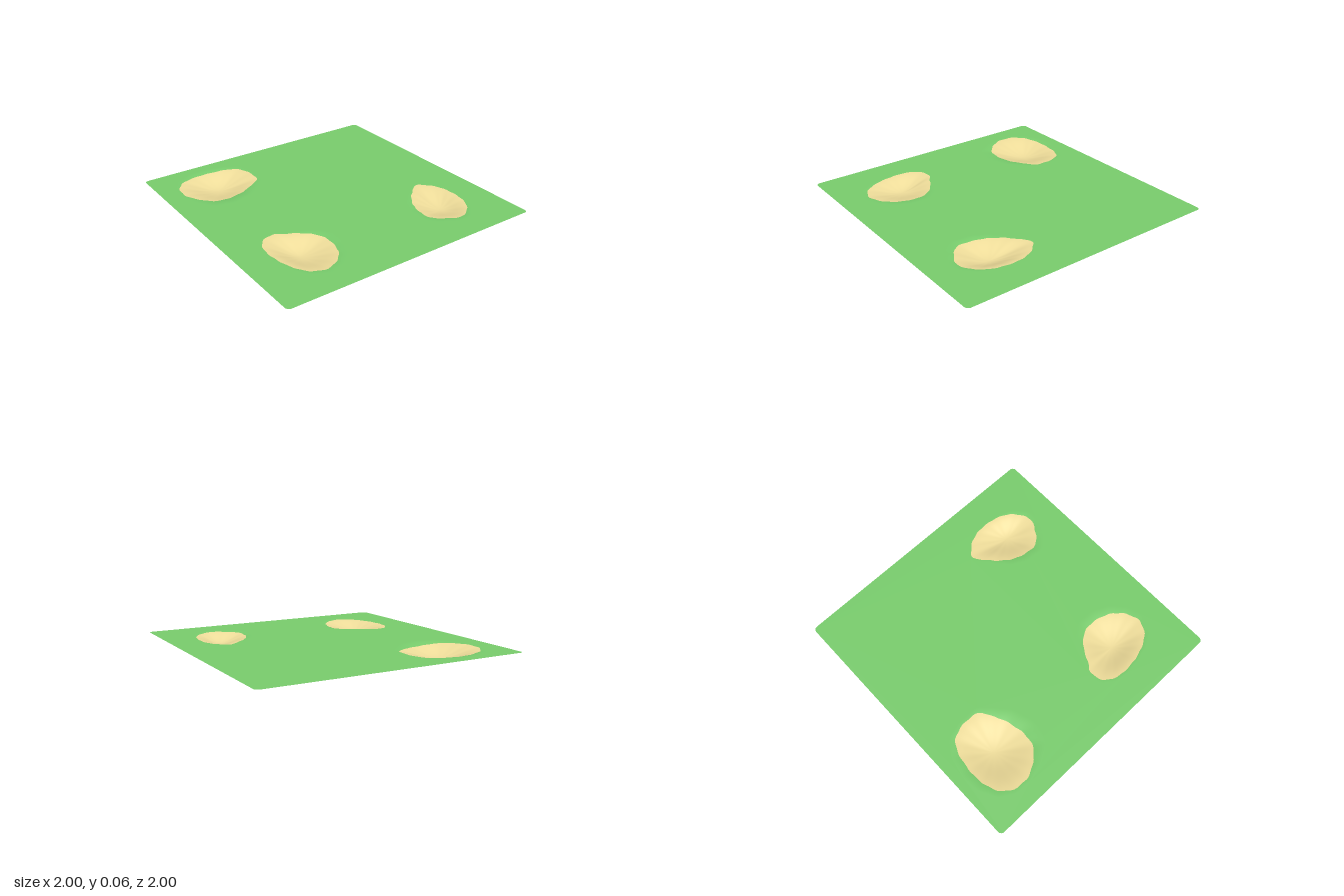
import * as THREE from 'three';

const LEVEL = 0.063; // height of the flat lawn
const SEGMENTS = 72, SAND_RINGS = 12, LIP_RINGS = 6;

const green = new THREE.MeshStandardMaterial({ color: 0x78cc6c, side: THREE.DoubleSide });
const sand = new THREE.MeshStandardMaterial({ color: 0xefdd9a, side: THREE.DoubleSide });

// Each hollow: deepest point, depth, sand outline as x,z pairs (clockwise from
// above), and how far the grassy lip spreads beyond the sand to +x, +z, -x, -z.
const hollows = [
  {
    name: 'backBunker', center: [-0.555, -0.65], depth: 0.063, lip: [0.08, 0.45, 0.08, 0.28],
    outline: [-.57, -.865, -.37, -.83, -.30, -.77, -.27, -.645, -.29, -.54, -.355, -.50, -.45, -.45,
      -.61, -.415, -.71, -.43, -.785, -.495, -.845, -.60, -.84, -.73, -.78, -.81, -.69, -.85],
  },
  {
    name: 'frontRightBunker', center: [-0.58, 0.50], depth: 0.054, lip: [0.3, 0.16, 0.1, 0.06],
    outline: [-.62, .235, -.56, .27, -.44, .34, -.375, .415, -.355, .50, -.385, .64, -.46, .735,
      -.575, .78, -.675, .735, -.735, .64, -.77, .51, -.77, .36, -.72, .265],
  },
  {
    name: 'frontLeftBunker', center: [0.59, 0.55], depth: 0.054, lip: [0.06, 0.2, 0.28, 0.06],
    outline: [.63, .235, .70, .28, .755, .37, .77, .51, .74, .645, .67, .735, .57, .78,
      .47, .735, .39, .66, .385, .565, .415, .455, .48, .36, .555, .29],
  },
];

// Smooth, slightly scalloped sand edge with the lip scale of every direction
function edgeRays({ center: [cx, cz], outline, lip }) {
  const points = [];
  for (let i = 0; i < outline.length; i += 2) points.push(new THREE.Vector3(outline[i], 0, outline[i + 1]));
  const curve = new THREE.CatmullRomCurve3(points, true);
  return curve.getSpacedPoints(SEGMENTS).slice(0, SEGMENTS).map((p, i) => {
    const wobble = 1 + 0.012 * Math.sin((i / SEGMENTS) * Math.PI * 2 * 14);
    const dx = (p.x - cx) * wobble, dz = (p.z - cz) * wobble;
    const r2 = dx * dx + dz * dz;
    const scale = 1 + (dx > 0 ? lip[0] : lip[2]) * dx * dx / r2
      + (dz > 0 ? lip[1] : lip[3]) * dz * dz / r2;
    return { dx, dz, scale };
  });
}

// Bowl of concentric rings; sand and lip share vertices so shading flows across
function makeBunker(spec, rays) {
  const [cx, cz] = spec.center;
  const rings = SAND_RINGS + LIP_RINGS;
  const positions = [cx, LEVEL - spec.depth, cz];
  for (let k = 1; k <= rings; k++) {
    for (const { dx, dz, scale } of rays) {
      const s = k <= SAND_RINGS ? k / SAND_RINGS
        : THREE.MathUtils.lerp(1, scale, (k - SAND_RINGS) / LIP_RINGS);
      const y = LEVEL - spec.depth * 0.5 * (1 + Math.cos(Math.PI * s / scale));
      positions.push(cx + dx * s, y, cz + dz * s);
    }
  }
  const sandIndex = [], lipIndex = [];
  const at = (k, i) => 1 + (k - 1) * SEGMENTS + (i % SEGMENTS);
  for (let i = 0; i < SEGMENTS; i++) {
    sandIndex.push(0, at(1, i + 1), at(1, i));
    for (let k = 1; k < rings; k++) {
      const target = k < SAND_RINGS ? sandIndex : lipIndex;
      target.push(at(k, i), at(k + 1, i + 1), at(k + 1, i), at(k, i), at(k, i + 1), at(k + 1, i + 1));
    }
  }
  const bowl = new THREE.BufferGeometry();
  bowl.setAttribute('position', new THREE.Float32BufferAttribute(positions, 3));
  bowl.setIndex([...sandIndex, ...lipIndex]);
  bowl.computeVertexNormals();
  // The rim meets the lawn without a crease
  for (let i = 0; i < SEGMENTS; i++) bowl.attributes.normal.setXYZ(at(rings, i), 0, 1, 0);

  const group = new THREE.Group();
  group.name = spec.name;
  const part = (name, index, material) => {
    const geometry = new THREE.BufferGeometry();
    geometry.setAttribute('position', bowl.attributes.position);
    geometry.setAttribute('normal', bowl.attributes.normal);
    geometry.setIndex(index);
    const mesh = new THREE.Mesh(geometry, material);
    mesh.name = name;
    group.add(mesh);
  };
  part('sand', sandIndex, sand);
  part('grassLip', lipIndex, green);
  return group;
}

export function createModel() {
  const model = new THREE.Group();
  model.name = 'lawnWithBunkers';

  // Thin square lawn with rounded corners
  const r = 0.03;
  const square = new THREE.Shape();
  square.absarc(1 - r, 1 - r, r, 0, Math.PI / 2);
  square.absarc(r - 1, 1 - r, r, Math.PI / 2, Math.PI);
  square.absarc(r - 1, r - 1, r, Math.PI, Math.PI * 1.5);
  square.absarc(1 - r, r - 1, r, Math.PI * 1.5, Math.PI * 2);
  square.closePath();

  for (const spec of hollows) {
    const rays = edgeRays(spec);
    const [cx, cz] = spec.center;
    square.holes.push(new THREE.Path(rays.map(({ dx, dz, scale }) =>
      new THREE.Vector2(cx + dx * scale, -(cz + dz * scale)))));
    model.add(makeBunker(spec, rays));
  }

  const lawn = new THREE.Mesh(new THREE.ShapeGeometry(square, 6).rotateX(-Math.PI / 2), green);
  lawn.name = 'lawn';
  lawn.position.y = LEVEL;
  model.add(lawn);
  return model;
}
